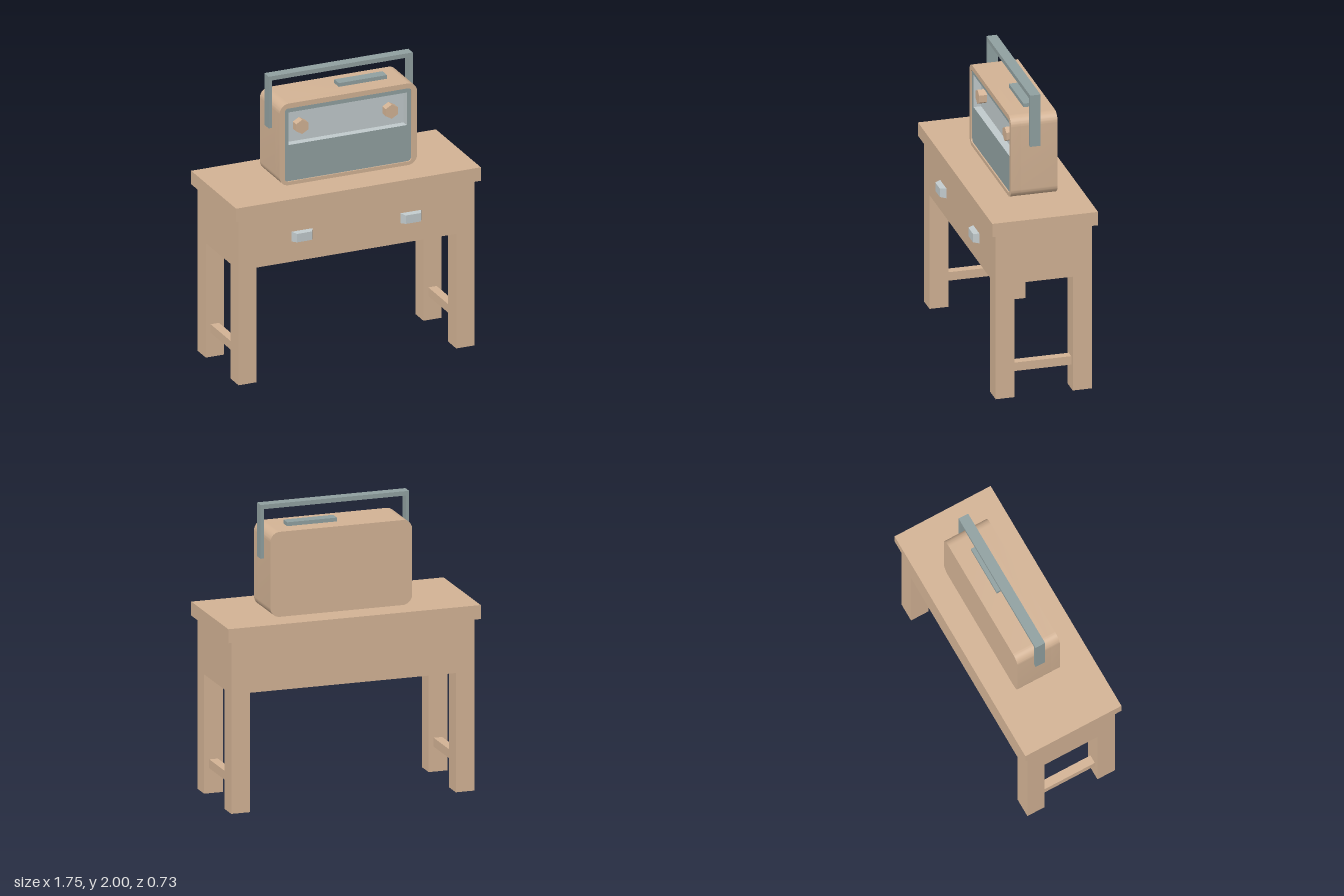
import * as THREE from 'three';
import { toCreasedNormals } from 'three/addons/utils/BufferGeometryUtils.js';

const wood = new THREE.MeshStandardMaterial({ color: 0xd2b294 });
const slate = new THREE.MeshStandardMaterial({ color: 0x90a0a0 });
const silver = new THREE.MeshStandardMaterial({ color: 0xc0c9cb });

// Adds a named mesh to a parent
function add(parent, name, geometry, material) {
  const mesh = new THREE.Mesh(geometry, material);
  mesh.name = name;
  parent.add(mesh);
  return mesh;
}

// Box given by its extents on each axis
function box(parent, name, material, [x0, x1], [y0, y1], [z0, z1]) {
  const mesh = add(parent, name, new THREE.BoxGeometry(x1 - x0, y1 - y0, z1 - z0), material);
  mesh.position.set((x0 + x1) / 2, (y0 + y1) / 2, (z0 + z1) / 2);
  return mesh;
}

// Rounded rectangle outline; r = 0 gives square corners
function outline(x0, x1, y0, y1, r, Type = THREE.Shape) {
  const s = new Type();
  if (r === 0) {
    s.moveTo(x0, y0).lineTo(x1, y0).lineTo(x1, y1).lineTo(x0, y1).closePath();
    return s;
  }
  s.absarc(x1 - r, y0 + r, r, -Math.PI / 2, 0);
  s.absarc(x1 - r, y1 - r, r, 0, Math.PI / 2);
  s.absarc(x0 + r, y1 - r, r, Math.PI / 2, Math.PI);
  s.absarc(x0 + r, y0 + r, r, Math.PI, Math.PI * 1.5);
  s.closePath();
  return s;
}

// Extrusion between two depths, with rounded corners shaded smooth
function slab(shape, hole, z0, z1) {
  if (hole) shape.holes.push(hole);
  const g = new THREE.ExtrudeGeometry(shape, { depth: z1 - z0, bevelEnabled: false, curveSegments: 8 });
  g.translate(0, 0, z0);
  return toCreasedNormals(g, 0.6);
}

function buildTable() {
  const table = new THREE.Group();
  table.name = 'table';
  box(table, 'tableTop', wood, [-0.877, 0.877], [1.17, 1.265], [-0.363, 0.357]);
  box(table, 'drawerCase', wood, [-0.845, 0.845], [0.81, 1.17], [-0.33, 0.325]);
  for (const s of [-1, 1]) {
    const span = (a, b) => (s > 0 ? [a, b] : [-b, -a]);
    const side = s > 0 ? 'left' : 'right';
    box(table, side + 'FrontLeg', wood, span(0.715, 0.845), [0, 0.81], [0.195, 0.325]);
    box(table, side + 'BackLeg', wood, span(0.715, 0.845), [0, 0.81], [-0.33, -0.2]);
    box(table, side + 'Stretcher', wood, span(0.75, 0.81), [0.17, 0.23], [-0.2, 0.195]);

    // Drawer pull tapering towards the front
    const g = new THREE.BoxGeometry(0.15, 0.07, 0.04);
    const p = g.attributes.position;
    for (let i = 0; i < p.count; i++) {
      if (p.getZ(i) > 0) p.setXY(i, p.getX(i) * 0.72, p.getY(i) * 0.85);
    }
    g.computeVertexNormals();
    add(table, side + 'DrawerPull', g, silver).position.set(s * 0.39, 0.987, 0.344);
  }
  return table;
}

function buildRadio() {
  const radio = new THREE.Group();
  radio.name = 'radio';
  const shell = () => outline(-0.462, 0.523, 1.265, 1.842, 0.065);

  // Cabinet and the rim around its front
  add(radio, 'cabinet', slab(shell(), null, -0.19, 0.06), wood);
  add(radio, 'frontRim', slab(shell(), outline(-0.425, 0.483, 1.29, 1.807, 0.025, THREE.Path), 0.06, 0.127), wood);

  // Speaker panel with a deep window for the dial
  const panel = outline(-0.425, 0.483, 1.29, 1.807, 0.025);
  const windowHole = outline(-0.393, 0.453, 1.545, 1.775, 0, THREE.Path);
  add(radio, 'speakerPanel', slab(panel, windowHole, 0.06, 0.118), [slate, silver]);
  box(radio, 'dialPlate', silver, [-0.393, 0.453], [1.545, 1.775], [0.05, 0.066]);

  // Hexagonal knobs
  for (const x of [-0.297, 0.345]) {
    const g = new THREE.CylinderGeometry(0.05, 0.05, 0.056, 6).rotateX(Math.PI / 2);
    add(radio, 'knob', toCreasedNormals(g, 0.5), wood).position.set(x, 1.658, 0.092);
  }

  // Button strip on top
  box(radio, 'buttonStrip', slate, [0.02, 0.366], [1.83, 1.868], [-0.076, -0.003]);

  // Carrying handle
  const z = [-0.067, 0.004];
  box(radio, 'handleBar', slate, [-0.485, 0.547], [1.97, 2], z);
  box(radio, 'rightHandleArm', slate, [-0.485, -0.463], [1.635, 1.97], z);
  box(radio, 'leftHandleArm', slate, [0.523, 0.547], [1.635, 1.97], z);
  return radio;
}

export function createModel() {
  const model = new THREE.Group();
  model.name = 'radioOnTable';
  model.add(buildTable(), buildRadio());
  return model;
}
